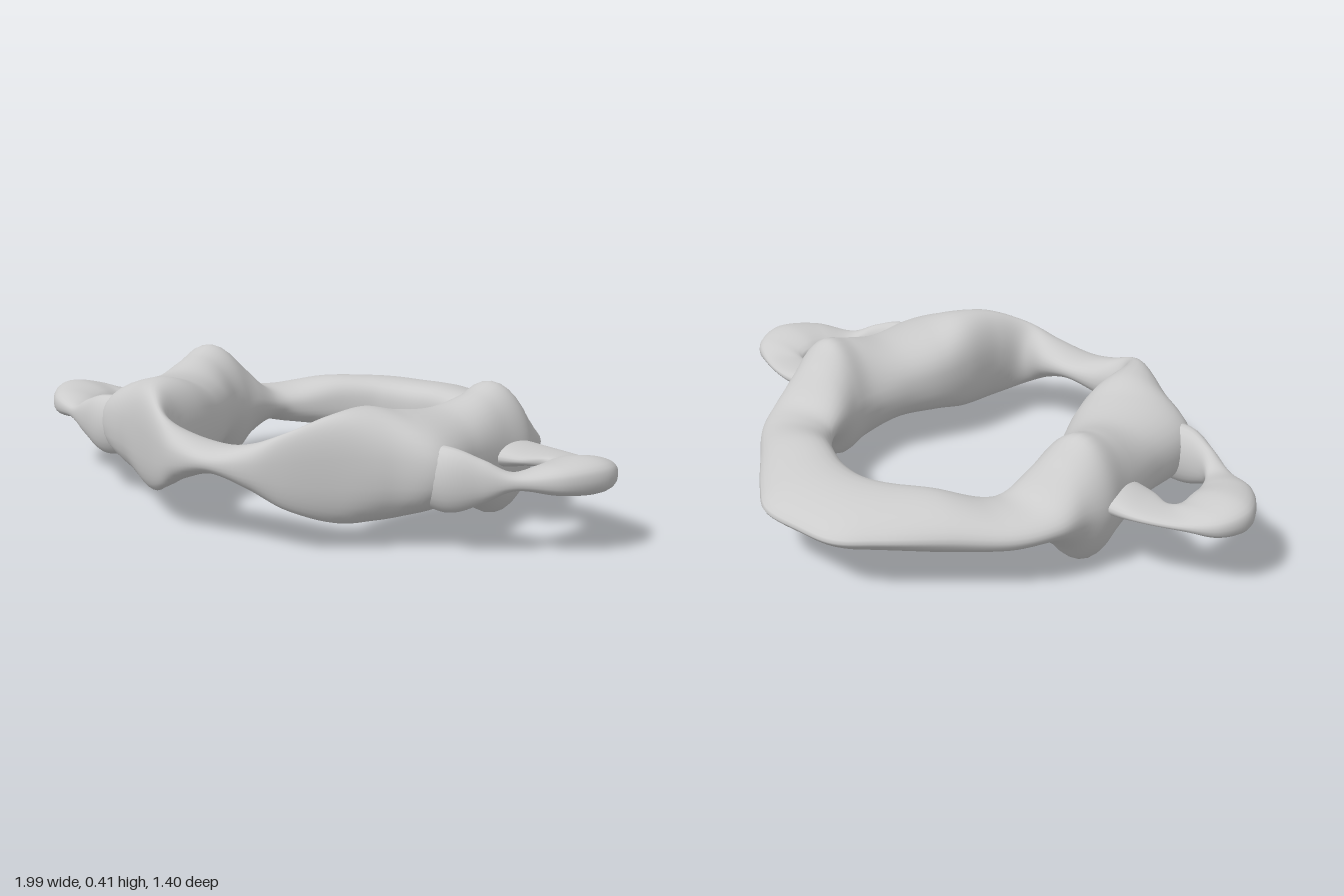
import * as THREE from 'three';

const material = new THREE.MeshStandardMaterial({ color: 0xcccccc, side: THREE.DoubleSide });

// Each section: [inner x, inner z, outer x, outer z, bottom, top,
//   crest position 0..1 from inner to outer, taper (below 1 blunt, above 1 pointed)]
const mirror = (sections) =>
  sections.map(([ix, iz, ox, oz, ...rest]) => [-ix, iz, -ox, oz, ...rest]).reverse();

// Smooth rounded bar lofted through the sections
function loft(name, sections, closed, steps, sides = 32) {
  const curve = (f) => new THREE.CatmullRomCurve3(
    sections.map((s) => new THREE.Vector3(...f(s))), closed, 'catmullrom', 0.5);
  const inner = curve((s) => [s[0], s[4], s[1]]);
  const outer = curve((s) => [s[2], s[5], s[3]]);
  const shape = curve((s) => [s[6], s[7], 0]);
  const positions = [];
  const index = [];
  const rows = closed ? steps : steps + 1;
  for (let i = 0; i < rows; i++) {
    const a = inner.getPoint(i / steps);
    const b = outer.getPoint(i / steps);
    const { x: crest, y: taper } = shape.getPoint(i / steps);
    const power = Math.log(crest) / Math.log(0.5);
    for (let j = 0; j < sides; j++) {
      const angle = (j / sides) * Math.PI * 2;
      const sin = Math.sin(angle);
      const u = Math.pow((1 - Math.cos(angle)) / 2, power);
      const v = Math.sign(sin) * Math.pow(Math.abs(sin), taper);
      const y = (a.y + b.y) / 2 + ((b.y - a.y) / 2) * v;
      positions.push(a.x + (b.x - a.x) * u, y, a.z + (b.z - a.z) * u);
    }
  }
  for (let i = 0; i < steps; i++) {
    for (let j = 0; j < sides; j++) {
      const r = i * sides;
      const n = ((i + 1) % rows) * sides;
      const k = (j + 1) % sides;
      index.push(r + j, r + k, n + j, r + k, n + k, n + j);
    }
  }
  const geometry = new THREE.BufferGeometry();
  geometry.setAttribute('position', new THREE.Float32BufferAttribute(positions, 3));
  geometry.setIndex(index);
  geometry.computeVertexNormals();
  const mesh = new THREE.Mesh(geometry, material);
  mesh.name = name;
  return mesh;
}

export function createModel() {
  const group = new THREE.Group();
  group.name = 'ringBone';

  // Main ring: front arch, lateral mass, rear arch
  const front = [[0, 0.54, 0, 0.695, 0.205, 0.285, 0.5, 0.9]];
  const half = [
    [0.1, 0.545, 0.12, 0.68, 0.175, 0.305, 0.58, 0.8],
    [0.2, 0.56, 0.22, 0.635, 0.125, 0.345, 0.6, 0.8],
    [0.235, 0.48, 0.36, 0.545, 0.08, 0.39, 0.58, 0.8],
    [0.245, 0.34, 0.48, 0.475, 0.07, 0.4, 0.5, 0.85],
    [0.27, 0.23, 0.61, 0.4, 0.085, 0.375, 0.45, 0.9],
    [0.32, 0.11, 0.615, 0.21, 0.085, 0.36, 0.5, 0.9],
    [0.36, 0.01, 0.63, 0.06, 0.035, 0.385, 0.54, 1.05],
    [0.368, -0.06, 0.65, -0.05, 0, 0.405, 0.52, 1.15],
    [0.36, -0.12, 0.625, -0.14, 0.07, 0.34, 0.52, 1.1],
    [0.34, -0.2, 0.6, -0.23, 0.125, 0.255, 0.5, 1],
    [0.3, -0.26, 0.53, -0.345, 0.115, 0.24, 0.42, 1],
    [0.2, -0.34, 0.4, -0.47, 0.1, 0.265, 0.35, 1.1],
    [0.11, -0.39, 0.25, -0.61, 0.1, 0.265, 0.3, 1.25],
    [0.05, -0.405, 0.14, -0.69, 0.095, 0.262, 0.28, 1.35],
  ];
  const rear = [[0, -0.41, 0, -0.7, 0.095, 0.26, 0.28, 1.35]];
  group.add(loft('mainRing', [...front, ...half, ...rear, ...mirror(half)], true, 240));

  // Side wings: flat bars looping round a small opening
  const wing = [
    [0.45, 0.28, 0.45, 0.41, 0.15, 0.3, 0.5, 1],
    [0.6, 0.32, 0.6, 0.425, 0.12, 0.31, 0.5, 1],
    [0.69, 0.32, 0.71, 0.38, 0.155, 0.28, 0.5, 0.9],
    [0.745, 0.275, 0.8, 0.335, 0.195, 0.245, 0.55, 0.8],
    [0.775, 0.2, 0.92, 0.27, 0.18, 0.265, 0.62, 0.75],
    [0.782, 0.14, 0.995, 0.15, 0.17, 0.275, 0.62, 0.75],
    [0.78, 0.085, 0.965, 0.045, 0.18, 0.255, 0.62, 0.75],
    [0.75, 0.07, 0.87, -0.015, 0.195, 0.235, 0.5, 0.8],
    [0.69, 0.1, 0.75, -0.06, 0.195, 0.235, 0.5, 0.8],
    [0.62, 0.11, 0.65, -0.07, 0.18, 0.25, 0.5, 0.9],
    [0.5, 0.11, 0.5, -0.06, 0.17, 0.27, 0.5, 1],
  ];
  group.add(loft('leftWing', wing, false, 90, 24));
  group.add(loft('rightWing', mirror(wing), false, 90, 24));

  return group;
}
